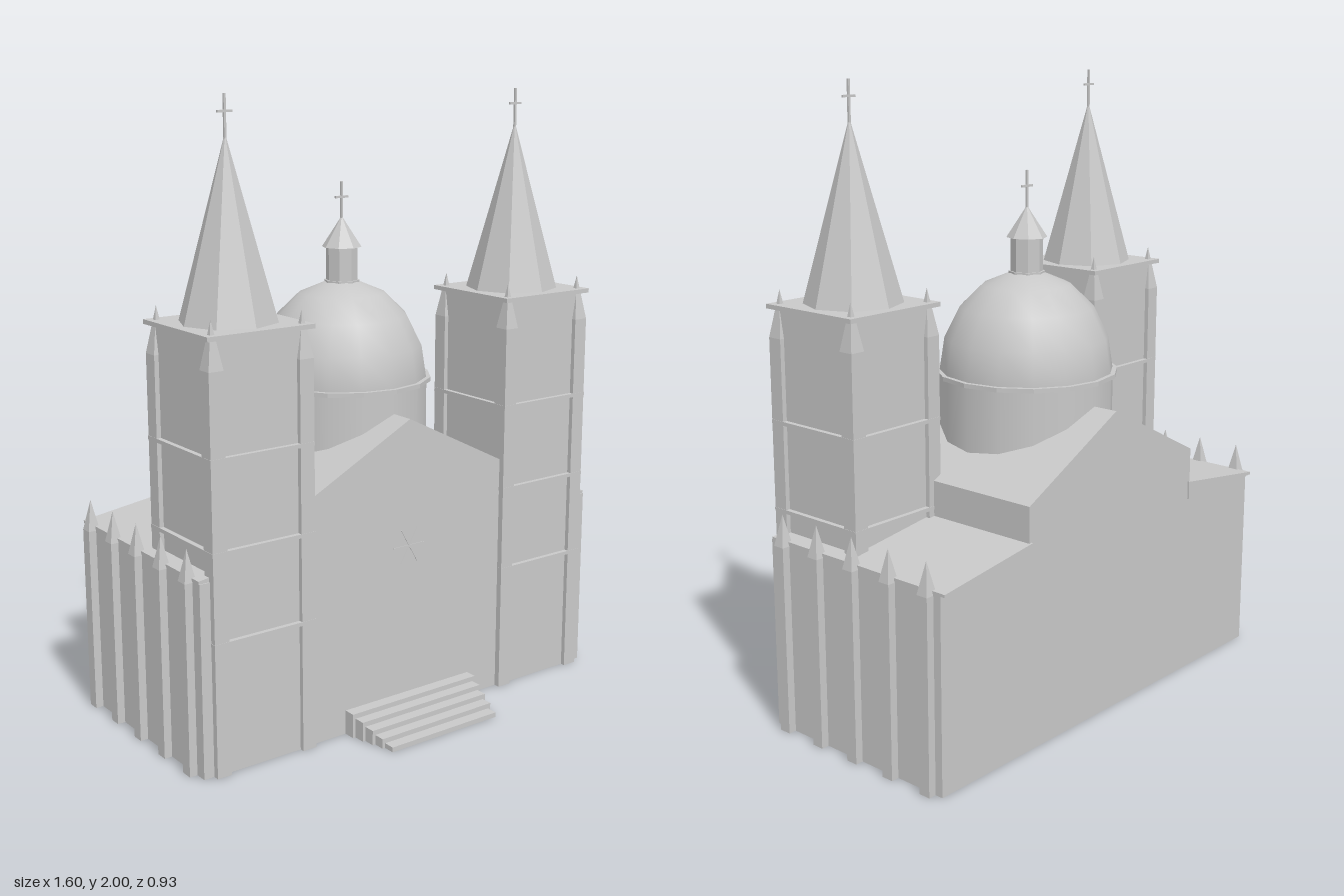
import * as THREE from 'three';

// Double-sided because the walls are hollow and open below
const stone = new THREE.MeshStandardMaterial({ color: 0xc8c8c8, side: THREE.DoubleSide });
stone.name = 'stone';

function add(parent, name, geometry, x = 0, y = 0, z = 0) {
  const mesh = new THREE.Mesh(geometry, stone);
  mesh.name = name;
  mesh.position.set(x, y, z);
  parent.add(mesh);
  return mesh;
}

// Box given by its bottom height and top height
function block(parent, name, w, d, y0, y1, x = 0, z = 0) {
  return add(parent, name, new THREE.BoxGeometry(w, y1 - y0, d), x, (y0 + y1) / 2, z);
}

// Box without its bottom face
function hollowBlock(parent, name, w, d, y0, y1, x = 0, z = 0) {
  const { geometry } = block(parent, name, w, d, y0, y1, x, z);
  const index = Array.from(geometry.index.array);
  index.splice(18, 6);
  geometry.setIndex(index);
  geometry.clearGroups();
}

// Faceted cone or prism with hard edges
function faceted(rTop, rBottom, height, sides, turn = 0) {
  const g = new THREE.CylinderGeometry(rTop, rBottom, height, sides).rotateY(turn).toNonIndexed();
  g.computeVertexNormals();
  return g;
}

function pyramid(parent, name, width, y0, y1, x, z) {
  add(parent, name, faceted(0, width / Math.SQRT2, y1 - y0, 4, Math.PI / 4), x, (y0 + y1) / 2, z);
}

// Extrude an x-y outline from zBack to zFront
function prism(parent, name, points, zBack, zFront) {
  const shape = new THREE.Shape(points.map(p => new THREE.Vector2(...p)));
  const g = new THREE.ExtrudeGeometry(shape, { depth: zFront - zBack, bevelEnabled: false });
  add(parent, name, g, 0, 0, zBack);
}

function cross(parent, y0, y1, x, z) {
  const barY = y0 + (y1 - y0) * 0.55;
  block(parent, 'crossPost', 0.007, 0.007, y0 - 0.02, y1, x, z);
  block(parent, 'crossBar', 0.05, 0.007, barY - 0.0035, barY + 0.0035, x, z);
}

function createTower(side) {
  const tower = new THREE.Group();
  tower.name = side > 0 ? 'leftTower' : 'rightTower';
  tower.position.set(side * 0.56, 0, 0.11);
  hollowBlock(tower, 'towerShaft', 0.33, 0.33, 0, 1.33);
  // Corner pilasters whose pointed tips pass through the cornice
  for (const sx of [-1, 1]) for (const sz of [-1, 1]) {
    block(tower, 'cornerPilaster', 0.05, 0.05, 0, 1.24, sx * 0.155, sz * 0.155);
    pyramid(tower, 'pilasterTip', 0.05, 1.24, 1.385, sx * 0.155, sz * 0.155);
  }
  for (const y of [0.42, 0.70, 0.98]) block(tower, 'stringCourse', 0.362, 0.362, y - 0.006, y + 0.006);
  block(tower, 'towerCornice', 0.368, 0.368, 1.328, 1.342);
  add(tower, 'spire', faceted(0, 0.152, 0.55, 8), 0, 1.615, 0);
  cross(tower, 1.89, 2.0, 0, 0);
  return tower;
}

function createDome() {
  const dome = new THREE.Group();
  dome.name = 'domeAssembly';
  dome.position.z = -0.092;
  add(dome, 'drum', new THREE.CylinderGeometry(0.28, 0.28, 0.37, 16), 0, 0.885, 0);
  add(dome, 'drumRing', faceted(0.294, 0.294, 0.014, 16), 0, 1.07, 0);
  const shell = new THREE.SphereGeometry(0.28, 16, 4, 0, Math.PI * 2, Math.PI / 18, Math.PI * 4 / 9);
  add(dome, 'domeShell', shell.scale(1, 0.325 / 0.28, 1), 0, 1.07, 0);
  // Lantern
  add(dome, 'lanternFoot', faceted(0.058, 0.058, 0.02, 8), 0, 1.383, 0);
  add(dome, 'lantern', faceted(0.052, 0.052, 0.13, 8), 0, 1.44, 0);
  add(dome, 'lanternCap', faceted(0, 0.065, 0.1, 8), 0, 1.55, 0);
  cross(dome, 1.6, 1.71, 0, 0);
  return dome;
}

export function createModel() {
  const model = new THREE.Group();
  model.name = 'cathedral';

  // Hollow lower walls with the gabled nave rising above them
  hollowBlock(model, 'lowerWalls', 1.55, 0.715, 0, 0.615, 0, -0.0875);
  prism(model, 'nave', [[-0.41, 0.615], [0.41, 0.615], [0.41, 0.787], [0, 0.995], [-0.41, 0.787]], -0.457, 0.27);
  for (const s of [-1, 1]) {
    const outline = [[s * 0.4, 0.615], [s * 0.776, 0.615], [s * 0.776, 0.624], [s * 0.4, 0.675]];
    prism(model, 'aisleRoof', outline, -0.463, 0.266);
    // Buttresses with pinnacles
    for (let i = 0; i < 5; i++) {
      const z = -0.398 + i * 0.152;
      block(model, 'buttress', 0.04, 0.04, 0, 0.61, s * 0.781, z);
      pyramid(model, 'pinnacle', 0.04, 0.61, 0.71, s * 0.781, z);
    }
    model.add(createTower(s));
  }

  // Thin tracery bars on the facade
  for (let i = 0; i < 3; i++) {
    const bar = add(model, 'rosetteBar', new THREE.BoxGeometry(0.13, 0.004, 0.006), 0, 0.58, 0.269);
    bar.rotation.z = i * Math.PI / 3;
  }

  // Entrance steps, each standing on the ground and wider toward the top
  for (let i = 0; i < 5; i++) {
    const front = 0.462 - i * 0.038;
    block(model, 'step', 0.426 + i * 0.02, front - 0.265, 0, (i + 1) * 0.016, 0, (front + 0.265) / 2);
  }

  model.add(createDome());
  return model;
}
